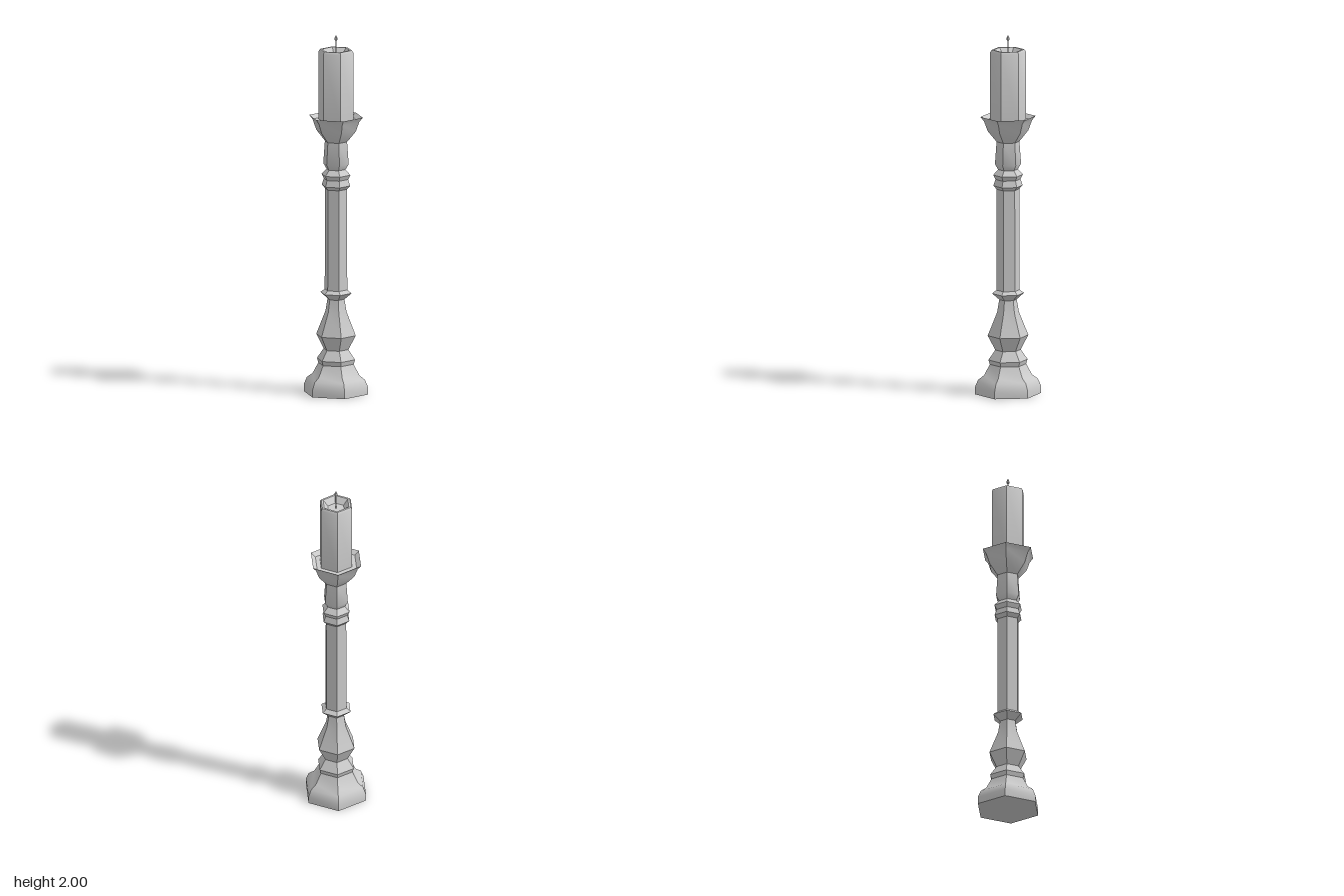
import * as THREE from 'three';
import { toCreasedNormals } from 'three/addons/utils/BufferGeometryUtils.js';

const material = new THREE.MeshStandardMaterial({ color: 0xcccccc });

// Six-sided turned part with corners on the x axis; profile is [radius, height] from bottom to top
function turned(name, profile) {
  const points = profile.map(([r, y]) => new THREE.Vector2(r, y));
  const lathe = new THREE.LatheGeometry(points, 6, Math.PI / 2);
  const mesh = new THREE.Mesh(toCreasedNormals(lathe, 0.65), material);
  mesh.name = name;
  return mesh;
}

export function createModel() {
  const model = new THREE.Group();
  model.name = 'candlestick';

  // Stepped foot and lower baluster
  model.add(turned('foot', [
    [0, 0], [0.182, 0], [0.182, 0.04], [0.165, 0.08], [0.132, 0.105],
    [0.1, 0.165], [0.108, 0.19], [0.07, 0.245],
    [0.112, 0.325], [0.06, 0.455], [0.048, 0.525],
  ]));

  // Collar, long shaft and upper rings
  model.add(turned('shaft', [
    [0.048, 0.525], [0.088, 0.56], [0.064, 0.578], [0.062, 1.14],
    [0.081, 1.16], [0.069, 1.195], [0.082, 1.22], [0.054, 1.25],
    [0.072, 1.28], [0.063, 1.405],
  ]));

  // Flared drip dish with a sunken floor
  model.add(turned('dripDish', [
    [0.063, 1.405], [0.112, 1.465], [0.132, 1.52], [0.152, 1.545],
    [0.125, 1.525], [0, 1.525],
  ]));

  // Candle with bevelled rim and melted hollow
  model.add(turned('candle', [
    [0.098, 1.525], [0.098, 1.905], [0.09, 1.917], [0.078, 1.917],
    [0.05, 1.885], [0, 1.885],
  ]));

  // Wick and its small flame
  model.add(turned('wick', [[0.004, 1.885], [0.004, 1.97]]));
  model.add(turned('flame', [[0, 1.963], [0.009, 1.972], [0.008, 1.982], [0, 2]]));

  return model;
}
